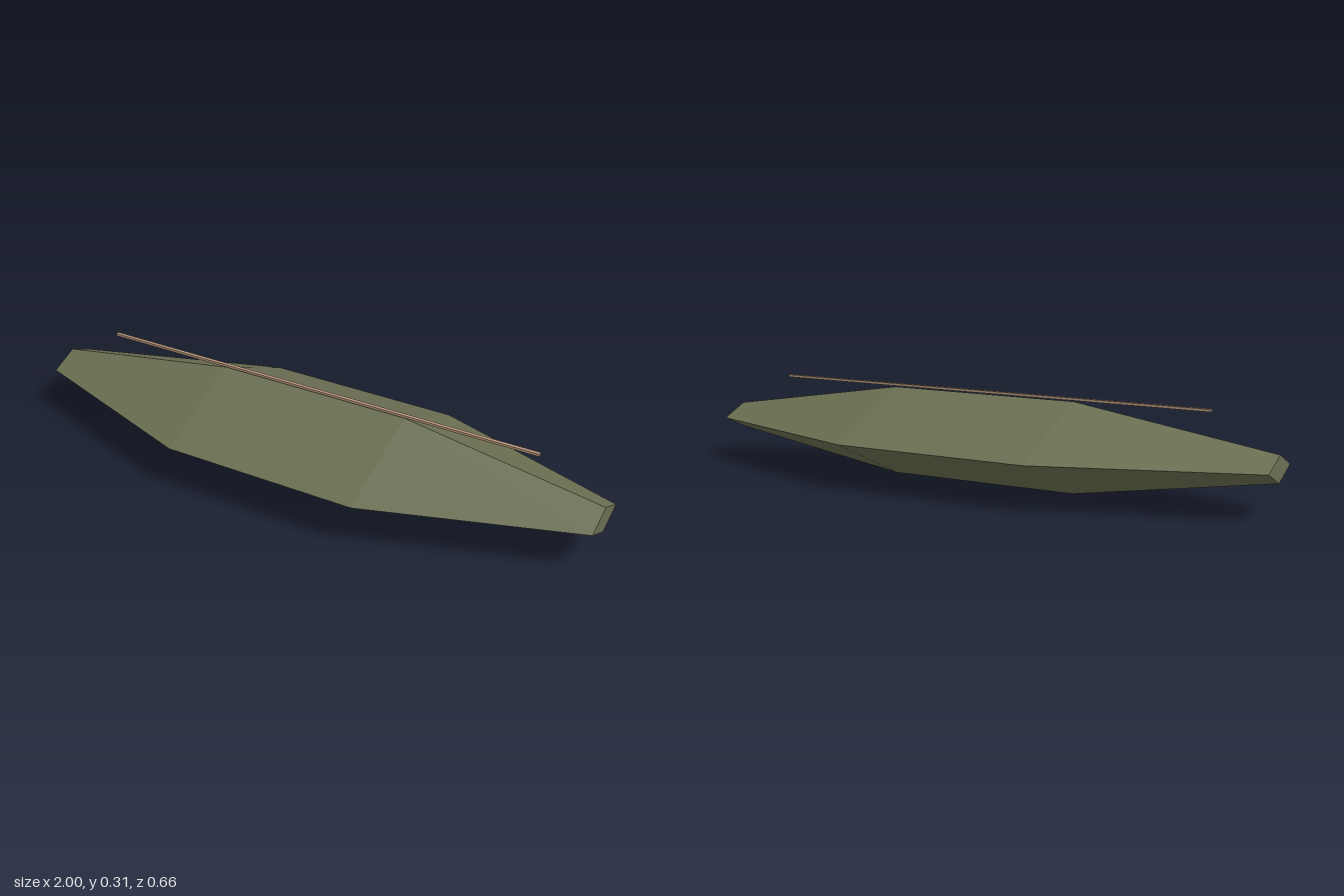
import * as THREE from 'three';

export function createModel() {
  const olive = new THREE.MeshStandardMaterial({ color: 0x6b6f52 });
  olive.name = 'olive';
  const tan = new THREE.MeshStandardMaterial({ color: 0xb5947a });
  tan.name = 'tan';

  const group = new THREE.Group();

  // Hull: four-sided tube along x, tapered towards both blunt ends
  let hullGeometry = new THREE.CylinderGeometry(1, 1, 2, 4, 3);
  hullGeometry.rotateZ(Math.PI / 2);
  const pos = hullGeometry.attributes.position;
  for (let i = 0; i < pos.count; i++) {
    const end = Math.abs(pos.getX(i)) > 0.9;
    pos.setY(i, pos.getY(i) * (end ? 0.0425 : 0.147));
    pos.setZ(i, pos.getZ(i) * (end ? 0.097 : 0.33));
  }
  hullGeometry = hullGeometry.toNonIndexed();
  hullGeometry.computeVertexNormals(); // flat facets
  const hull = new THREE.Mesh(hullGeometry, olive);
  hull.name = 'hull';
  hull.position.y = 0.148;
  group.add(hull);

  // Thin straight rod just above the top ridge
  const rod = new THREE.Mesh(new THREE.BoxGeometry(1.57, 0.008, 0.013), tan);
  rod.name = 'rod';
  rod.position.set(-0.002, 0.303, 0);
  group.add(rod);

  return group;
}
